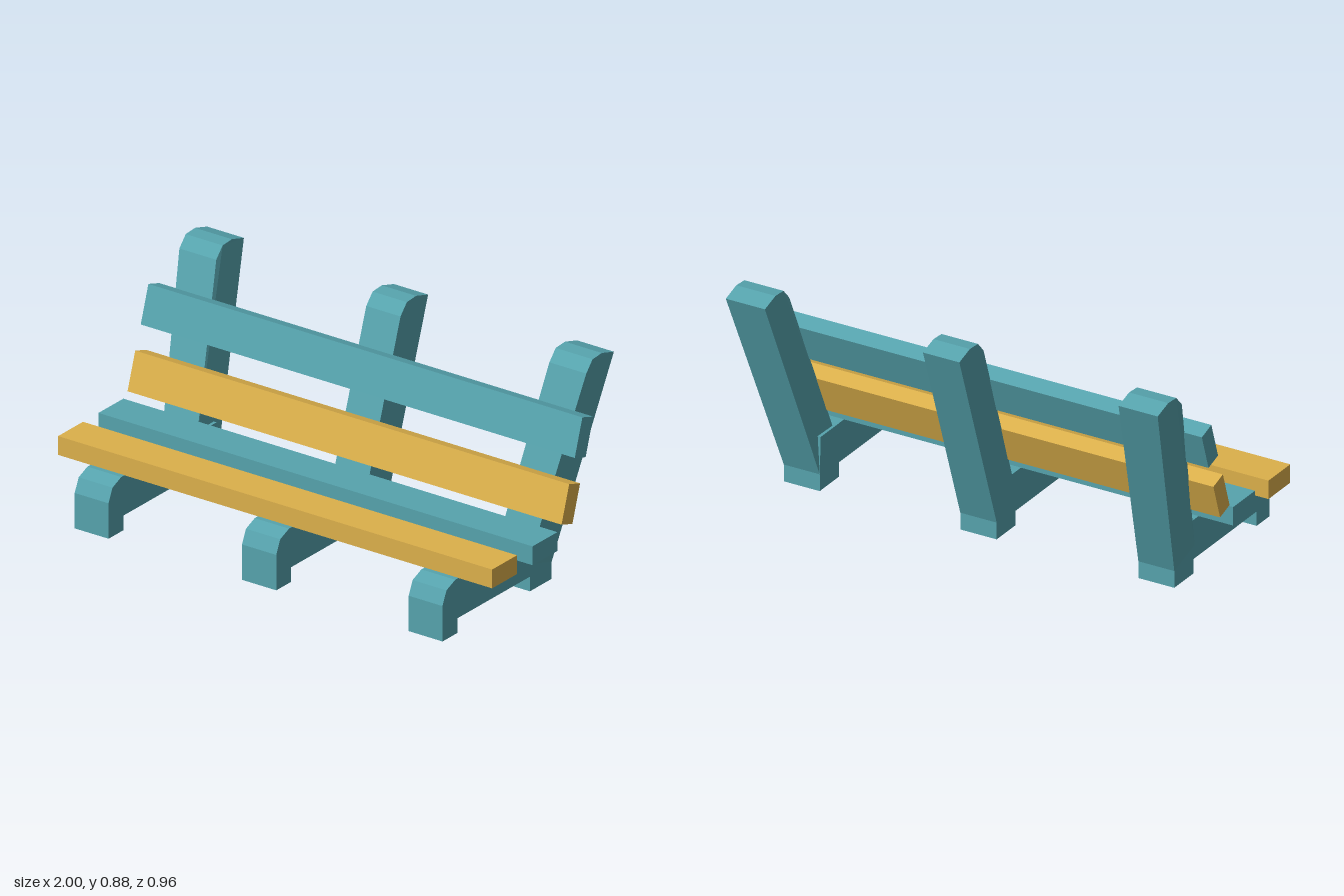
import * as THREE from 'three';

const teal = new THREE.MeshStandardMaterial({ color: 0x56a3ad });
teal.name = 'teal paint';
const ochre = new THREE.MeshStandardMaterial({ color: 0xdcb04b });
ochre.name = 'ochre paint';

// Side profiles as [z, y] points
const footProfile = [
  [0.48, 0], [0.48, 0.145], [0.455, 0.2], [0.4, 0.223], [-0.2, 0.223],
  [-0.207, 0.07], [-0.207, 0], [-0.07, 0], [-0.07, 0.06], [0.387, 0.06], [0.387, 0],
];
const postProfile = [
  [-0.06, 0.115], [-0.302, 0.83], [-0.342, 0.874], [-0.4, 0.878], [-0.476, 0.855], [-0.207, 0.07],
];

// Extrudes a side profile along x, from -0.5 to 0.5
function sideExtrude(profile) {
  const shape = new THREE.Shape(profile.map(([z, y]) => new THREE.Vector2(z, y)));
  const geo = new THREE.ExtrudeGeometry(shape, { depth: 1, bevelEnabled: false });
  return geo.rotateY(-Math.PI / 2).translate(0.5, 0, 0);
}

function addMesh(parent, name, geo, material) {
  const mesh = new THREE.Mesh(geo, material);
  mesh.name = name;
  parent.add(mesh);
  return mesh;
}

// One support: a foot and a leaning post, which may splay outward towards its top
function makeSupport(name, bottom, top) {
  const support = new THREE.Group();
  support.name = name;
  const foot = sideExtrude(footProfile);
  foot.scale(bottom.width, 1, 1).translate(bottom.x, 0, 0);
  addMesh(support, 'foot', foot, teal);

  const post = sideExtrude(postProfile);
  const pos = post.attributes.position;
  for (let i = 0; i < pos.count; i++) {
    const end = pos.getY(i) > 0.4 ? top : bottom;
    pos.setX(i, end.x + pos.getX(i) * end.width);
  }
  const flat = post.index ? post.toNonIndexed() : post;
  flat.computeVertexNormals();
  addMesh(support, 'backPost', flat, teal);
  return support;
}

export function createModel() {
  const bench = new THREE.Group();
  bench.name = 'bench';

  // Three supports
  bench.add(
    makeSupport('rightSupport', { x: -0.772, width: 0.156 }, { x: -0.855, width: 0.17 }),
    makeSupport('middleSupport', { x: 0, width: 0.158 }, { x: 0, width: 0.158 }),
    makeSupport('leftSupport', { x: 0.767, width: 0.156 }, { x: 0.85, width: 0.17 }),
  );

  // Planks: name, colour, y, z, height, depth, tilt
  const planks = [
    ['frontSeatPlank', ochre, 0.261, 0.301, 0.077, 0.157, 0],
    ['rearSeatPlank', teal, 0.261, 0.047, 0.077, 0.157, 0],
    ['lowerBackPlank', ochre, 0.383, -0.116, 0.156, 0.072, -0.314],
    ['upperBackPlank', teal, 0.6255, -0.199, 0.156, 0.072, -0.314],
  ];
  for (const [name, material, y, z, height, depth, tilt] of planks) {
    const plank = addMesh(bench, name, new THREE.BoxGeometry(2, height, depth), material);
    plank.position.set(0, y, z);
    plank.rotation.x = tilt;
  }
  return bench;
}
